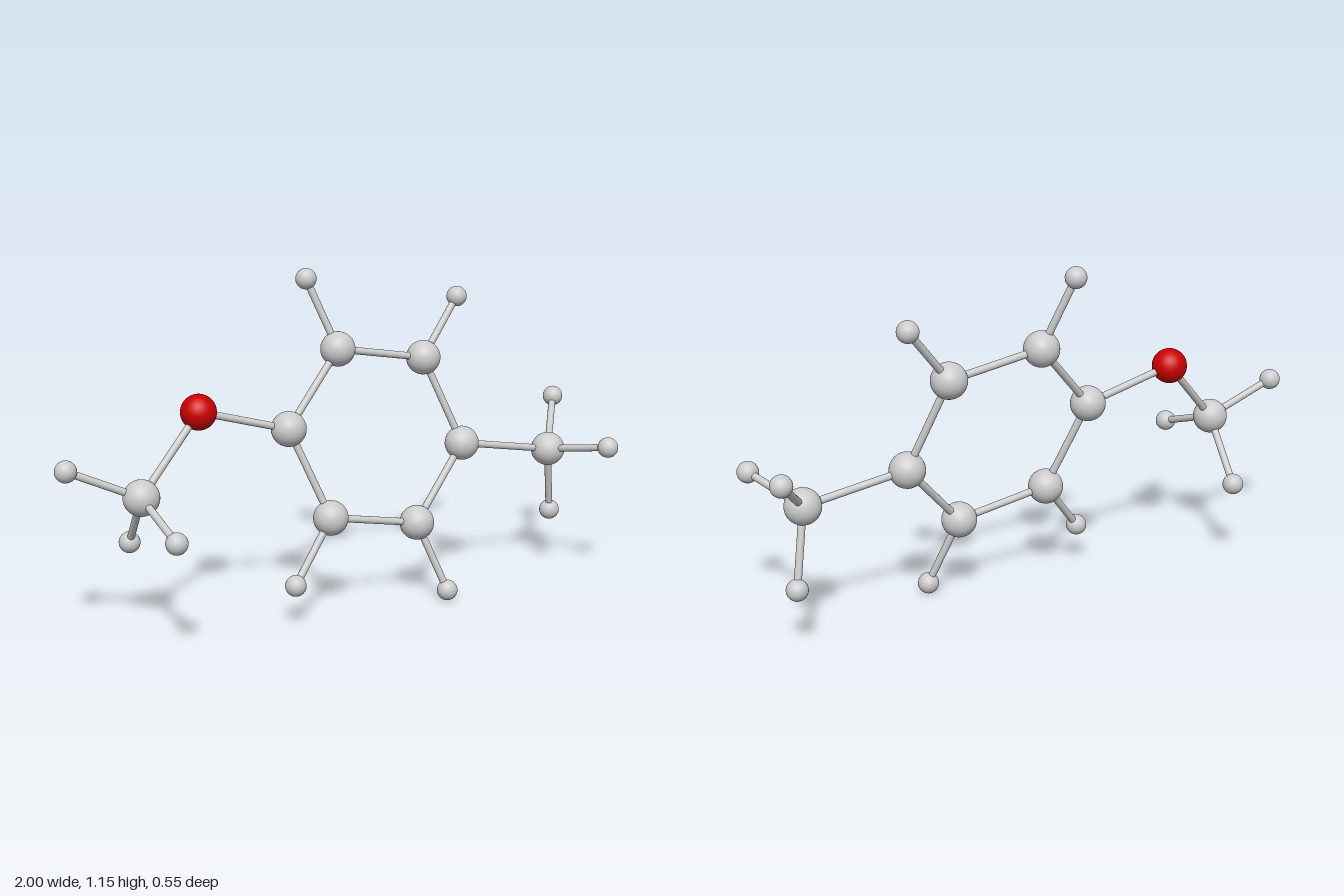
import * as THREE from 'three';

const grey = new THREE.MeshStandardMaterial({ color: 0xcccccc });
const red = new THREE.MeshStandardMaterial({ color: 0xcc0000 });

const bigBall = new THREE.SphereGeometry(0.06, 40, 28);
const smallBall = new THREE.SphereGeometry(0.036, 32, 20);
const BOND_RADIUS = 0.0125;

// Atom centres
const oxygen = [-0.5, 0.73, -0.081];
const ring = [
  [-0.184, 0.641, -0.073],
  [0.034, 0.881, -0.149],
  [0.364, 0.823, -0.149],
  [0.481, 0.519, -0.073],
  [0.262, 0.277, 0.007],
  [-0.067, 0.337, 0.007],
];
// Hydrogens on the ring, by ring index
const ringHydrogens = {
  1: [-0.056, 1.119, -0.21],
  2: [0.527, 1.018, -0.209],
  4: [0.35, 0.037, 0.073],
  5: [-0.227, 0.14, 0.073],
};
const methyl = {
  carbon: [0.836, 0.459, -0.067],
  hydrogens: [[0.962, 0.608, -0.24], [0.93, 0.509, 0.175], [0.888, 0.207, -0.125]],
};
const methoxy = {
  carbon: [-0.729, 0.489, -0.003],
  hydrogens: [[-0.966, 0.598, -0.027], [-0.7, 0.403, 0.241], [-0.718, 0.289, -0.176]],
};

function addAtom(parent, name, geometry, position, material = grey) {
  const atom = new THREE.Mesh(geometry, material);
  atom.name = name;
  atom.position.fromArray(position);
  parent.add(atom);
}

// Rod between two atom centres
function addBond(parent, from, to) {
  const a = new THREE.Vector3(...from);
  const b = new THREE.Vector3(...to);
  const dir = b.clone().sub(a);
  const bond = new THREE.Mesh(
    new THREE.CylinderGeometry(BOND_RADIUS, BOND_RADIUS, dir.length(), 20), grey);
  bond.name = 'bond';
  bond.position.copy(a).add(b).multiplyScalar(0.5);
  bond.quaternion.setFromUnitVectors(new THREE.Vector3(0, 1, 0), dir.normalize());
  parent.add(bond);
}

function addHydrogen(parent, carbon, position) {
  addAtom(parent, 'hydrogenAtom', smallBall, position);
  addBond(parent, carbon, position);
}

// Carbon with three hydrogens, joined to another atom
function createMethyl(name, { carbon, hydrogens }, anchor) {
  const group = new THREE.Group();
  group.name = name;
  addAtom(group, 'carbonAtom', bigBall, carbon);
  addBond(group, anchor, carbon);
  hydrogens.forEach((h) => addHydrogen(group, carbon, h));
  return group;
}

export function createModel() {
  const model = new THREE.Group();
  model.name = 'molecule';

  // Six-carbon ring with its hydrogens
  const ringGroup = new THREE.Group();
  ringGroup.name = 'carbonRing';
  ring.forEach((c, i) => {
    addAtom(ringGroup, 'carbonAtom', bigBall, c);
    addBond(ringGroup, c, ring[(i + 1) % ring.length]);
    if (ringHydrogens[i]) addHydrogen(ringGroup, c, ringHydrogens[i]);
  });
  model.add(ringGroup);

  // Oxygen bridge and the two end groups
  addAtom(model, 'oxygenAtom', bigBall, oxygen, red);
  addBond(model, oxygen, ring[0]);
  model.add(createMethyl('methoxyEnd', methoxy, oxygen));
  model.add(createMethyl('methylEnd', methyl, ring[3]));

  return model;
}
